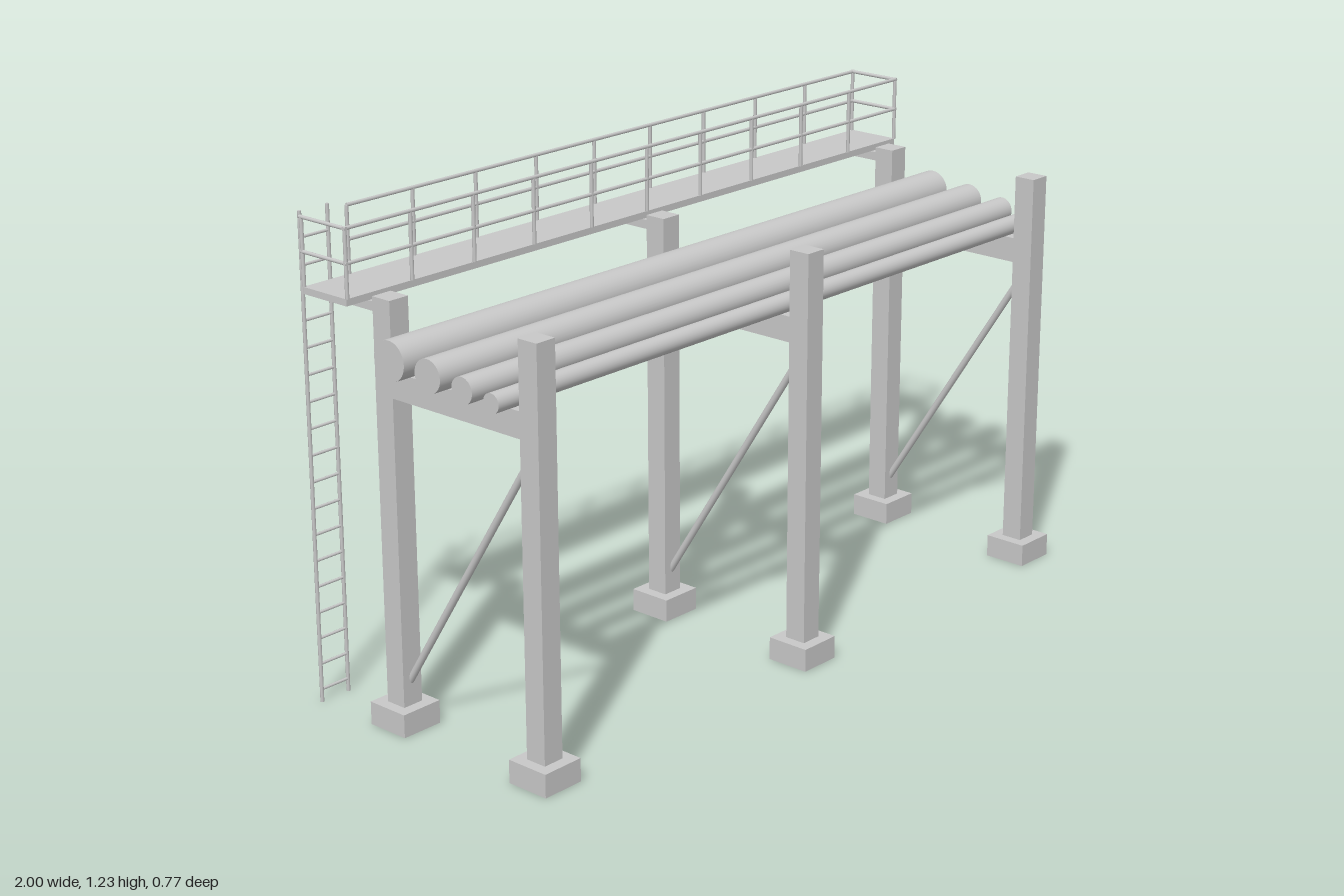
import * as THREE from 'three';

export function createModel() {
  const root = new THREE.Group();
  root.name = 'pipeRack';
  const steel = new THREE.MeshStandardMaterial({ color: 0xc8c8c8 });
  steel.name = 'light grey steel';

  const group = (name) => {
    const g = new THREE.Group();
    g.name = name;
    root.add(g);
    return g;
  };
  // Box given by its min and max corners
  const box = (parent, name, [x0, y0, z0], [x1, y1, z1]) => {
    const m = new THREE.Mesh(new THREE.BoxGeometry(x1 - x0, y1 - y0, z1 - z0), steel);
    m.position.set((x0 + x1) / 2, (y0 + y1) / 2, (z0 + z1) / 2);
    m.name = name;
    parent.add(m);
  };
  // Round bar between two points
  const bar = (parent, name, a, b, r, sides = 8) => {
    const p = new THREE.Vector3(...a), q = new THREE.Vector3(...b);
    const d = q.clone().sub(p);
    const m = new THREE.Mesh(new THREE.CylinderGeometry(r, r, d.length(), sides), steel);
    m.position.copy(p).add(q).multiplyScalar(0.5);
    m.quaternion.setFromUnitVectors(new THREE.Vector3(0, 1, 0), d.normalize());
    m.name = name;
    parent.add(m);
  };

  // Three support frames
  const zFront = 0.328, zBack = -0.137, h = 0.0285;
  for (const x of [-0.914, 0, 0.914]) {
    const frame = group('supportFrame');
    for (const z of [zFront, zBack]) {
      box(frame, 'footing', [x - 0.057, 0, z - 0.058], [x + 0.057, 0.059, z + 0.058]);
      box(frame, 'column', [x - h, 0.059, z - h], [x + h, 1.064, z + h]);
    }
    box(frame, 'crossBeam', [x - h, 0.832, zBack + h], [x + h, 0.897, zFront - h]);
    bar(frame, 'diagonalBrace', [x, 0.787, 0.309], [x, 0.115, -0.118], 0.009, 12);
    box(frame, 'walkwayBracket', [x - 0.018, 1.024, -0.337], [x + 0.018, 1.047, zBack - h]);
  }

  // Four pipes resting on the beams
  const pipes = group('pipes');
  for (const [z, r] of [[0.269, 0.024], [0.178, 0.0325], [0.069, 0.041], [-0.055, 0.049]]) {
    bar(pipes, 'pipe', [-0.998, 0.898 + r, z], [0.998, 0.898 + r, z], r, 32);
  }

  // Walkway deck and guard rails
  const walkway = group('walkway');
  const zIn = -0.19, zOut = -0.337, xEnd = 0.995, gap = -0.858;
  const deckY = 1.064, midY = 1.147, topY = 1.229, rr = 0.0048;
  box(walkway, 'deck', [-0.998, 1.047, zOut], [0.998, deckY, zIn]);
  const posts = (x0, x1, n, z) => {
    for (let i = 0; i <= n; i++) {
      const x = x0 + ((x1 - x0) * i) / n;
      bar(walkway, 'railPost', [x, deckY, z], [x, topY, z], rr);
    }
  };
  posts(-xEnd, xEnd, 10, zIn);
  posts(gap, xEnd, 9, zOut);
  posts(-xEnd, -xEnd, 1, zOut);
  for (const y of [midY, topY]) {
    bar(walkway, 'innerRail', [-xEnd - rr, y, zIn], [xEnd + rr, y, zIn], rr);
    bar(walkway, 'outerRail', [gap, y, zOut], [xEnd + rr, y, zOut], rr);
    for (const x of [-xEnd, xEnd]) bar(walkway, 'endRail', [x, y, zOut - rr], [x, y, zIn + rr], rr);
  }

  // Access ladder
  const ladder = group('ladder');
  const zL = -0.378, xA = -0.965, xB = -0.881;
  for (const x of [xA, xB]) bar(ladder, 'stile', [x, 0, zL], [x, 1.23, zL], 0.0048);
  for (let i = 0; i < 18; i++) {
    const y = 0.033 + i * 0.0667;
    bar(ladder, 'rung', [xA, y, zL], [xB, y, zL], 0.0038);
  }
  return root;
}
